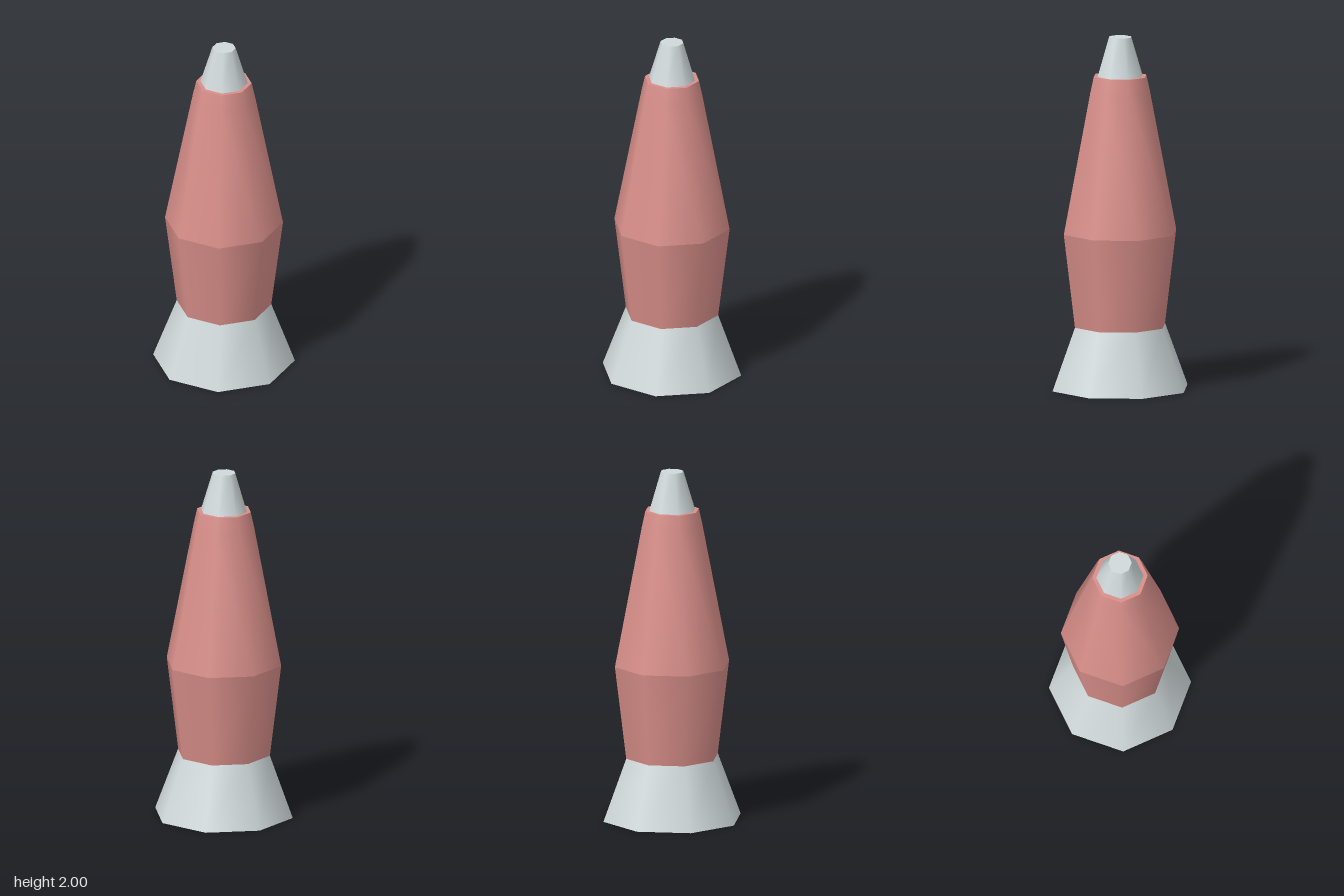
import * as THREE from 'three';

const SIDES = 8;

export function createModel() {
  const group = new THREE.Group();
  const metal = new THREE.MeshStandardMaterial({ color: 0xd0d9da });
  metal.name = 'pale metal';
  const glass = new THREE.MeshStandardMaterial({ color: 0xd98f8a });
  glass.name = 'pink glass';

  const add = (name, geometry, material, y = 0) => {
    const mesh = new THREE.Mesh(geometry, material);
    mesh.name = name;
    mesh.position.y = y;
    group.add(mesh);
  };
  // Tapered octagonal section standing between two heights
  const taper = (name, y0, r0, y1, r1, material, open = false) =>
    add(name, new THREE.CylinderGeometry(r1, r0, y1 - y0, SIDES, 1, open), material, (y0 + y1) / 2);

  // Flared foot and tapered cap
  taper('base', 0, 0.4, 0.356, 0.267, metal);
  taper('cap', 1.778, 0.133, 2, 0.066, metal);

  // Lower glass, widening up to a crisp waist edge
  taper('lowerGlass', 0.356, 0.267, 0.889, 0.333, glass, true);

  // Upper glass, narrowing with a softly shaded shoulder
  const profile = [[0.333, 0.889], [0.176, 1.69], [0.156, 1.778]]
    .map(([r, y]) => new THREE.Vector2(r, y));
  add('upperGlass', new THREE.LatheGeometry(profile, SIDES), glass);

  // Flat rim closing the glass around the cap
  const rim = new THREE.CircleGeometry(0.156, SIDES);
  rim.rotateX(-Math.PI / 2);
  add('glassRim', rim, glass, 1.778);

  return group;
}
